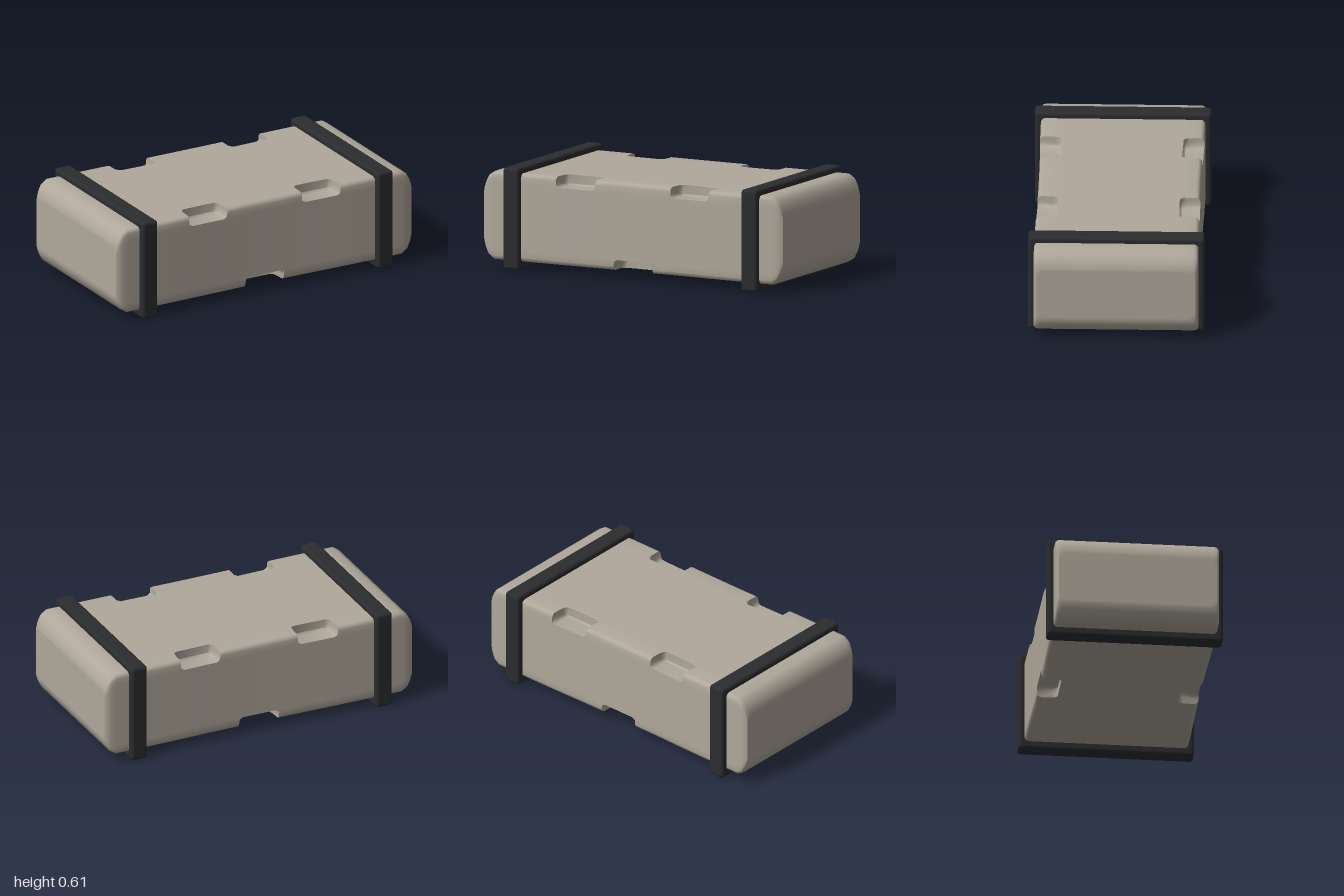
import * as THREE from 'three';
import { toCreasedNormals } from 'three/addons/utils/BufferGeometryUtils.js';
import { RoundedBoxGeometry } from 'three/addons/geometries/RoundedBoxGeometry.js';

const MID_Y = 0.3075, HALF_Y = 0.2625;
const NOTCH_IN = 0.12, NOTCH_DOWN = 0.063, EDGE = 0.026;

// One quarter of the cross-section, from flat face to side, as [z, y];
// depth 0 is a rounded edge, above 0 an L-shaped notch.
function corner(hz, hy, depth) {
  if (depth === 0) {
    const pts = [[hz - NOTCH_IN, hy]];
    for (let k = 0; k < 4; k++) {
      const a = k * Math.PI / 6;
      pts.push([hz - EDGE + EDGE * Math.sin(a), hy - EDGE + EDGE * Math.cos(a)]);
    }
    pts.push([hz, hy - NOTCH_DOWN]);
    return pts;
  }
  const zi = hz - NOTCH_IN * depth, yi = hy - NOTCH_DOWN * depth;
  return [[zi, hy], [zi, hy - 0.02], [zi, yi + 0.01], [zi + 0.01, yi], [hz - 0.02, yi], [hz, yi]];
}

// Full closed cross-section at x, running from the top towards +z
function ring({ x, hz, hy, top = 0, bottom = 0 }) {
  const place = (pts, sz, sy) => pts.map(([z, y]) => [x, MID_Y + sy * y, sz * z]);
  const t = corner(hz, hy, top), b = corner(hz, hy, bottom);
  return [
    ...place(t, 1, 1), ...place(b, 1, -1).reverse(),
    ...place(b, -1, -1), ...place(t, -1, 1).reverse(),
  ];
}

function bodyGeometry() {
  const stations = [];
  const halfZ = x => 0.476 + 0.007 * Math.min(1, (x / 0.55) ** 2);
  const add = (x, extra = {}) => stations.push({ x, hz: halfZ(x), hy: HALF_Y, ...extra });

  // Rounded ends
  const ends = [[1, 0.15, 0.445], [1, 0.17, 0.467], [0.985, 0.205, 0.477], [0.965, 0.24, 0.482], [0.93, HALF_Y, 0.483]];
  for (const [x, hy, hz] of ends) for (const s of [-1, 1]) add(s * x, { hy, hz });
  for (const x of [-0.86, -0.7, 0.7, 0.86]) add(x);

  // Finger notches with rounded corners
  const steps = [[0, 0], [0.004, 0.75], [0.012, 0.93], [0.025, 1]];
  const notch = (x0, x1, side) => {
    for (const [dx, d] of steps) {
      add(x0 + dx, { [side]: d });
      add(x1 - dx, { [side]: d });
    }
  };
  notch(-0.512, -0.252, 'top');
  notch(-0.13, 0.13, 'bottom');
  notch(0.252, 0.512, 'top');
  // Inset cap rings share x with the next ring, so order them by size too
  stations.sort((a, b) => a.x - b.x || (a.hy - b.hy) * -Math.sign(a.x));

  const rings = stations.map(ring), n = rings[0].length;
  const position = rings.flat(2), index = [];
  for (let i = 0; i < rings.length - 1; i++) {
    for (let j = 0; j < n; j++) {
      const k = (j + 1) % n, a = i * n, b = a + n;
      index.push(a + j, a + k, b + j, a + k, b + k, b + j);
    }
  }
  // End caps
  const left = position.length / 3, last = (rings.length - 1) * n;
  position.push(-1, MID_Y, 0, 1, MID_Y, 0);
  for (let j = 0; j < n; j++) {
    const k = (j + 1) % n;
    index.push(left, k, j, left + 1, last + j, last + k);
  }
  const geo = new THREE.BufferGeometry();
  geo.setAttribute('position', new THREE.Float32BufferAttribute(position, 3));
  geo.setIndex(index);
  return toCreasedNormals(geo, 0.75);
}

export function createModel() {
  const casing = new THREE.MeshStandardMaterial({ color: 0xb0a89b });
  casing.name = 'warm grey casing';
  const rubber = new THREE.MeshStandardMaterial({ color: 0x2b2c2e });
  rubber.name = 'black rubber';

  const group = new THREE.Group();
  group.name = 'case';

  const body = new THREE.Mesh(bodyGeometry(), casing);
  body.name = 'body';
  group.add(body);

  // Bands wrapped around both ends
  const bandGeo = new RoundedBoxGeometry(0.105, 0.605, 1.036, 3, 0.018);
  for (const [name, s] of [['leftBand', 1], ['rightBand', -1]]) {
    const band = new THREE.Mesh(bandGeo, rubber);
    band.name = name;
    band.position.set(s * 0.797, 0.3025, 0);
    group.add(band);
  }
  return group;
}
